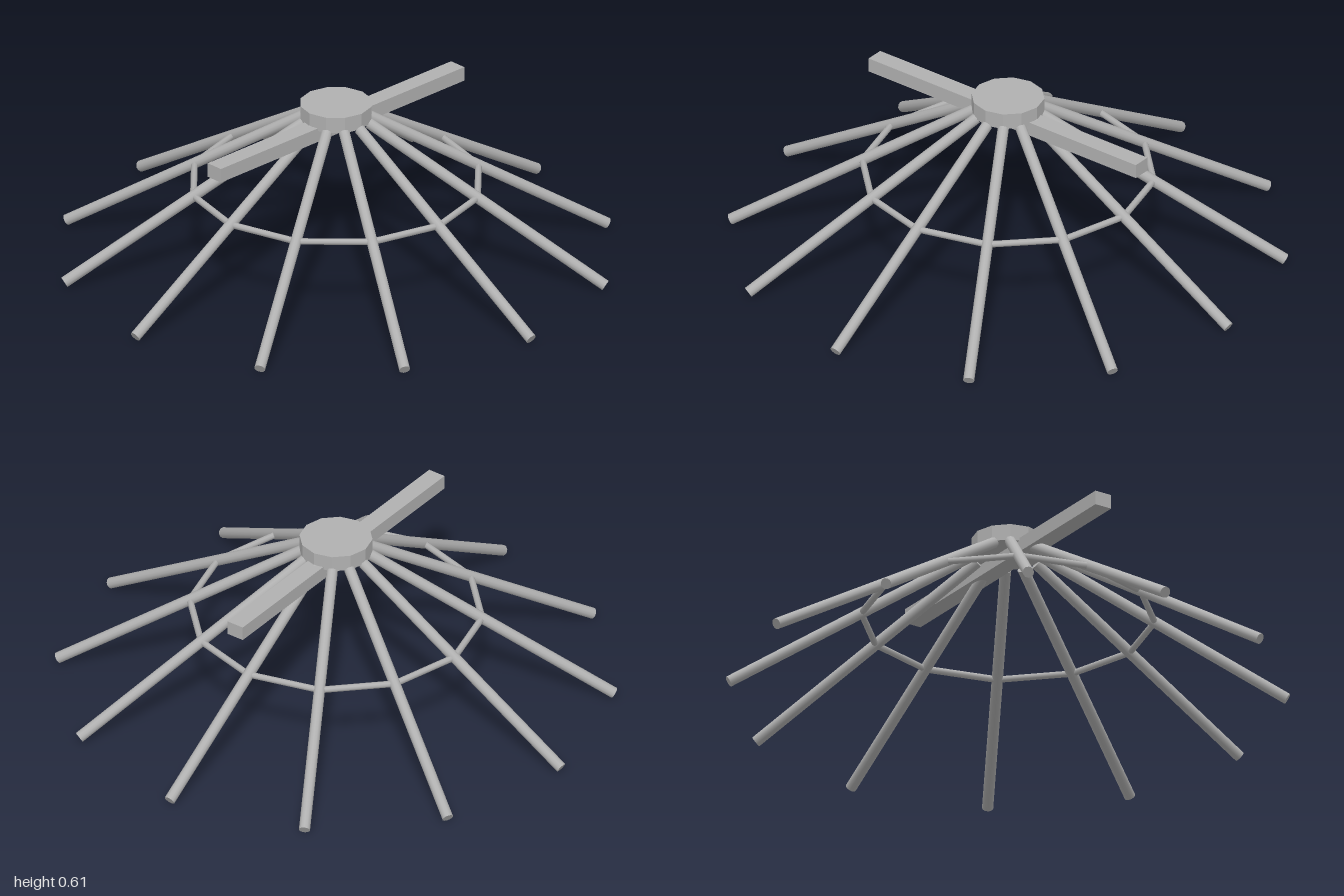
import * as THREE from 'three';

const COUNT = 12;
const grey = new THREE.MeshStandardMaterial({ color: 0xb0b0b0 });
grey.name = 'grey metal';

// Round bar between two points
function bar(name, a, b, radius, sides) {
  const dir = b.clone().sub(a);
  const mesh = new THREE.Mesh(new THREE.CylinderGeometry(radius, radius, dir.length(), sides), grey);
  mesh.name = name;
  mesh.position.copy(a).add(b).multiplyScalar(0.5);
  mesh.quaternion.setFromUnitVectors(new THREE.Vector3(0, 1, 0), dir.normalize());
  return mesh;
}

// Point at a given radius and height on the ray of pole i
function polar(i, r, y) {
  const a = (i / COUNT) * Math.PI * 2;
  return new THREE.Vector3(Math.sin(a) * r, y, Math.cos(a) * r);
}

export function createModel() {
  const model = new THREE.Group();
  model.name = 'poleFrame';

  // Twelve-sided hub at the top
  const hubGeometry = new THREE.CylinderGeometry(0.13, 0.13, 0.06, COUNT).toNonIndexed();
  hubGeometry.computeVertexNormals();
  const hub = new THREE.Mesh(hubGeometry, grey);
  hub.name = 'hub';
  hub.position.y = 0.575;
  model.add(hub);

  // Square cross beam under the hub
  const beam = new THREE.Mesh(new THREE.BoxGeometry(1.2, 0.053, 0.067), grey);
  beam.name = 'crossBeam';
  beam.position.y = 0.529;
  model.add(beam);

  // Sloping poles and the ring of struts that ties them together
  const poles = new THREE.Group();
  poles.name = 'poles';
  const ring = new THREE.Group();
  ring.name = 'braceRing';
  for (let i = 0; i < COUNT; i++) {
    poles.add(bar('pole', polar(i, 0.99, 0.017), polar(i, 0.12, 0.541), 0.02, 12));
    ring.add(bar('braceStrut', polar(i, 0.52, 0.3), polar(i + 1, 0.52, 0.3), 0.012, 8));
  }
  model.add(poles, ring);
  return model;
}
